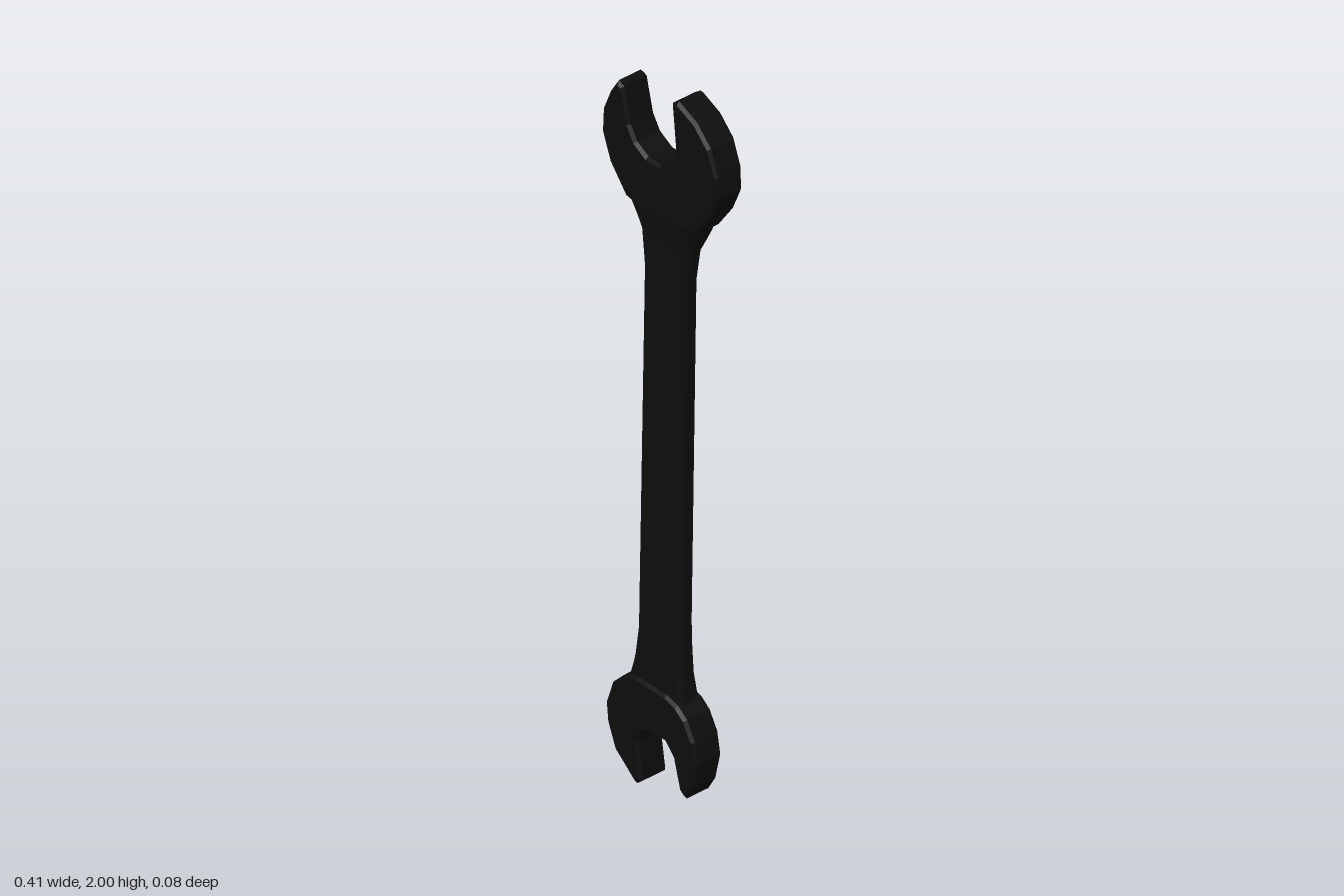
import * as THREE from 'three';

const material = new THREE.MeshStandardMaterial({ color: 0x0d0d0d, flatShading: true });

// Open jaw: a flat outline extruded with a small chamfer kept inside it
function makeJaw(name, outline) {
  const shape = new THREE.Shape(outline.map(([x, y]) => new THREE.Vector2(x, y)));
  const halfDepth = 0.042, bevel = 0.008;
  const geometry = new THREE.ExtrudeGeometry(shape, {
    depth: 2 * (halfDepth - bevel), bevelEnabled: true, bevelSegments: 1,
    bevelSize: bevel, bevelThickness: bevel, bevelOffset: -bevel,
  });
  geometry.translate(0, 0, bevel - halfDepth);
  const mesh = new THREE.Mesh(geometry, material);
  mesh.name = name;
  return mesh;
}

// Handle: chamfered sections [y, left edge, right edge, half depth] joined in loops
function makeHandle(rows) {
  const positions = [], index = [], sides = 8;
  for (const [y, x0, x1, d] of rows) {
    const c = 0.013, e = d * 0.5;
    const section = [[x0 + c, d], [x1 - c, d], [x1, e], [x1, -e],
      [x1 - c, -d], [x0 + c, -d], [x0, -e], [x0, e]];
    for (const [x, z] of section) positions.push(x, y, z);
  }
  for (let r = 0; r < rows.length - 1; r++) {
    for (let i = 0; i < sides; i++) {
      const a = r * sides + i, b = r * sides + (i + 1) % sides;
      index.push(a, b, b + sides, a, b + sides, a + sides);
    }
  }
  // End caps, hidden inside the jaws
  const top = (rows.length - 1) * sides;
  for (let i = 1; i < sides - 1; i++) {
    index.push(0, i + 1, i, top, top + i, top + i + 1);
  }
  const geometry = new THREE.BufferGeometry();
  geometry.setAttribute('position', new THREE.Float32BufferAttribute(positions, 3));
  geometry.setIndex(index);
  geometry.computeVertexNormals();
  const mesh = new THREE.Mesh(geometry, material);
  mesh.name = 'handle';
  return mesh;
}

export function createModel() {
  const wrench = new THREE.Group();
  wrench.name = 'openEndedWrench';

  // Large jaw, opening upwards
  wrench.add(makeJaw('largeJaw', [
    [-0.12, 1.643], [-0.07, 1.633], [0.07, 1.633], [0.127, 1.655],
    [0.177, 1.725], [0.205, 1.79], [0.203, 1.85], [0.177, 1.92], [0.128, 1.97],
    [0.063, 2.0], [0.042, 1.985], [0.058, 1.825], [0.032, 1.801], [0, 1.79],
    [-0.045, 1.79], [-0.085, 1.813], [-0.108, 1.85], [-0.131, 1.945],
    [-0.15, 1.954], [-0.178, 1.91], [-0.203, 1.85], [-0.206, 1.79], [-0.178, 1.715],
  ]));

  // Small jaw, opening downwards
  wrench.add(makeJaw('smallJaw', [
    [-0.122, 0.292], [-0.17, 0.245], [-0.192, 0.18], [-0.187, 0.13],
    [-0.16, 0.063], [-0.085, 0], [-0.064, 0.018], [-0.08, 0.12], [-0.07, 0.15],
    [-0.037, 0.17], [0.02, 0.17], [0.047, 0.14], [0.069, 0.06], [0.09, 0.043],
    [0.115, 0.085], [0.131, 0.155], [0.12, 0.215], [0.092, 0.265],
    [0.06, 0.29], [0.02, 0.302], [-0.08, 0.302],
  ]));

  // Tapered handle flaring into both jaws
  wrench.add(makeHandle([
    [0.25, -0.125, 0.07, 0.034],
    [0.3, -0.122, 0.062, 0.034],
    [0.35, -0.112, 0.058, 0.028],
    [0.44, -0.101, 0.054, 0.026],
    [0.5, -0.1, 0.053, 0.026],
    [1.47, -0.08, 0.07, 0.026],
    [1.57, -0.09, 0.086, 0.026],
    [1.605, -0.105, 0.104, 0.029],
    [1.643, -0.12, 0.122, 0.035],
    [1.68, -0.13, 0.13, 0.035],
  ]));
  return wrench;
}
